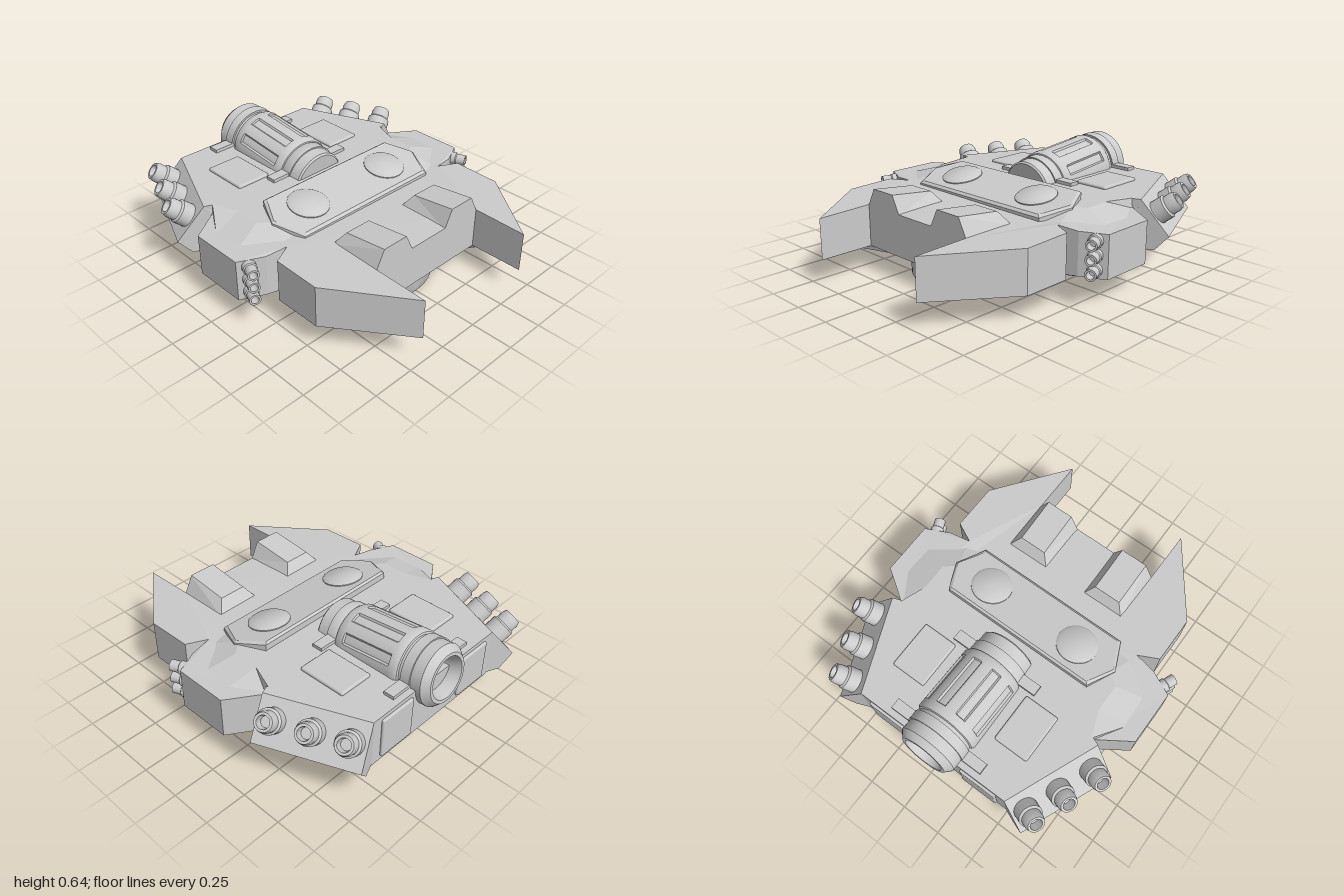
import * as THREE from 'three';
import { toCreasedNormals } from 'three/addons/utils/BufferGeometryUtils.js';
import { RoundedBoxGeometry } from 'three/addons/geometries/RoundedBoxGeometry.js';

const material = new THREE.MeshStandardMaterial({ color: 0xcccccc });

// Flat-shaded solid through horizontal rings of [x, y, z], lowest ring first
function loft(rings) {
  const pos = [];
  const n = rings[0].length;
  let area = 0;
  rings[0].forEach((p, i) => {
    const q = rings[0][(i + 1) % n];
    area += p[0] * q[2] - q[0] * p[2];
  });
  const tri = (a, b, c, flip) => (flip ? pos.push(...a, ...c, ...b) : pos.push(...a, ...b, ...c));
  for (let r = 0; r < rings.length - 1; r++) {
    const lo = rings[r], hi = rings[r + 1];
    for (let i = 0; i < n; i++) {
      const j = (i + 1) % n;
      tri(lo[i], hi[i], lo[j], area < 0);
      tri(hi[i], hi[j], lo[j], area < 0);
    }
  }
  const cap = (ring, up) => {
    const flat = ring.map((p) => new THREE.Vector2(p[0], p[2]));
    for (const f of THREE.ShapeUtils.triangulateShape(flat, [])) {
      const [a, b, c] = f.map((k) => ring[k]);
      const ny = (b[2] - a[2]) * (c[0] - a[0]) - (b[0] - a[0]) * (c[2] - a[2]);
      tri(a, b, c, (ny > 0) !== up);
    }
  };
  cap(rings[0], false);
  cap(rings[rings.length - 1], true);
  const g = new THREE.BufferGeometry();
  g.setAttribute('position', new THREE.Float32BufferAttribute(pos, 3));
  g.computeVertexNormals();
  return g;
}

// Closed ring from a half outline of [x, z], with y from a number or rule
function ring(half, y) {
  const all = [...half, ...half.slice().reverse().map(([x, z]) => [-x, z])];
  return all.map(([x, z]) => [x, typeof y === 'function' ? y(x, z) : y, z]);
}

function lathe(profile, segments = 32) {
  const g = new THREE.LatheGeometry(profile.map(([r, y]) => new THREE.Vector2(r, y)), segments);
  return toCreasedNormals(g, 0.6);
}

// Reflected copy in x, with the corner order reversed
function mirrored(geometry) {
  const g = geometry.index ? geometry.toNonIndexed() : geometry.clone();
  for (const name of ['position', 'normal']) {
    const a = g.attributes[name];
    for (let i = 0; i < a.count; i += 3) {
      const v = [0, 2, 1].map((k) => [-a.getX(i + k), a.getY(i + k), a.getZ(i + k)]);
      v.forEach((p, k) => a.setXYZ(i + k, ...p));
    }
  }
  return g;
}

export function createModel() {
  const model = new THREE.Group();
  model.name = 'turret';
  const add = (name, g) => {
    const m = new THREE.Mesh(g, material);
    m.name = name;
    model.add(m);
  };
  const addPair = (name, g) => {
    add(name + 'Left', g);
    add(name + 'Right', mirrored(g));
  };
  // Turn a lathe from +y to a direction and place it
  const aim = (g, dir, at) => {
    const q = new THREE.Quaternion().setFromUnitVectors(new THREE.Vector3(0, 1, 0), dir.clone().normalize());
    return g.applyQuaternion(q).translate(...at);
  };

  // Hull slab with two front prongs and side sponsons
  const rear = [[0.73, 0.55], [0.73, 0.26], [0.61, 0.2], [0.74, 0.18], [0.885, 0.11],
    [0.885, -0.22], [0.69, -0.35], [0.73, -0.37], [0.5, -0.92]];
  const outline = [[0.405, 0.66], [0.405, 0.99], ...rear];
  const hullTop = (x, z) => (z >= 0.2 ? 0.41 - 0.025 * (z - 0.2) : 0.4);
  add('hull', loft([ring(outline, 0.15), ring(outline, hullTop)]));

  // Belly tapering down to the mounting ring
  const cz = 0.255;
  const belly = [[0.405, 0.66], [0.56, 0.78], ...rear];
  const neck = belly.map(([x, z]) => {
    const d = Math.hypot(x, z - cz);
    return [x / d * 0.34, cz + (z - cz) / d * 0.34];
  });
  add('belly', loft([ring(neck, 0.08), ring(belly, 0.152)]));
  add('mountingRing', lathe([[0, 0], [0.335, 0], [0.34, 0.01], [0.34, 0.13], [0, 0.13]], 48).translate(0, 0, cz));

  // Raised rear deck
  const deckLow = [[0.61, 0.19], [0.8, 0.02], [0.8, -0.17], [0.69, -0.35], [0.73, -0.37], [0.5, -0.92]];
  const deckHigh = [[0.55, 0.02], [0.62, -0.04], [0.62, -0.2], [0.68, -0.36], [0.73, -0.37], [0.5, -0.92]];
  add('rearDeck', loft([ring(deckLow, 0.395), ring(deckHigh, 0.45)]));

  // Sloped side pods carrying the launchers
  const along = [-0.386, -0.923], out = [0.923, -0.386];
  const podPoint = (t, o) => [0.73 + along[0] * t + out[0] * o, -0.37 + along[1] * t + out[1] * o];
  const podRing = (o, y) => [[0, -0.05], [0, o], [0.596, o], [0.596, -0.05]].map(([t, k]) => {
    const [x, z] = podPoint(t, k);
    return [x, y, z];
  });
  addPair('sidePod', loft([podRing(0.09, 0.16), podRing(0.17, 0.25), podRing(0.002, 0.45)]));
  const launcher = [[0, -0.03], [0.07, -0.03], [0.07, 0.065], [0.058, 0.075], [0.058, 0.115],
    [0.05, 0.14], [0.036, 0.14], [0.03, 0.09], [0, 0.09]];
  [0.09, 0.305, 0.51].forEach((t, i) => {
    const [x, z] = podPoint(t, 0.085);
    const dir = new THREE.Vector3(out[0] * 0.78, 0.62, out[1] * 0.78);
    addPair('launcher' + (i + 1), aim(lathe(launcher, 24), dir, [x, 0.36, z]));
  });

  // Small guns stacked on the sponson fronts
  const gun = [[0, -0.03], [0.04, -0.03], [0.04, 0.04], [0.033, 0.045], [0.033, 0.1],
    [0.022, 0.1], [0.02, 0.05], [0, 0.05]];
  [0.2, 0.28, 0.36].forEach((y, i) => {
    addPair('sponsonGun' + (i + 1), aim(lathe(gun, 20), new THREE.Vector3(0.38, 0, 0.92), [0.82, y, 0.13]));
  });

  // Wedge blocks on the front deck
  const wedgeLow = [[0.13, 0.66], [0.41, 0.66], [0.41, 0.33], [0.13, 0.33]];
  const wedgeHigh = [[0.185, 0.66], [0.352, 0.66], [0.352, 0.385], [0.185, 0.385]];
  addPair('wedgeBlock', loft([
    wedgeLow.map(([x, z]) => [x, 0.39, z]),
    wedgeHigh.map(([x, z]) => [x, 0.5 - 0.12 * (0.66 - z), z]),
  ]));

  // Tilted hatch platform with two round hatches
  const slope = 0.2;
  const plat = (k) => [[0.49 - k, 0.21 - k], [0.57 - k, 0.03], [0.49 - k, -0.14 + k]];
  const platTop = (d) => (x, z) => 0.467 - slope * (z - 0.03) - d;
  add('hatchPlatform', loft([ring(plat(0), 0.38), ring(plat(0), platTop(0.012)), ring(plat(0.014), platTop(0))]));
  const hatch = lathe([[0, -0.02], [0.122, -0.02], [0.122, 0.006], [0.102, 0.02], [0, 0.022]], 40);
  addPair('hatch', aim(hatch, new THREE.Vector3(0, 1, slope), [0.305, 0.467, 0.03]));

  // Engine: collars, grooved barrel and hollow nozzle, tilted up to the rear
  const place = (g) => g.rotateX(-Math.PI / 2 + 0.1).translate(0, 0.388, -0.215);
  add('engineFrontCollar', place(lathe([[0, 0], [0.165, 0], [0.175, 0.01], [0.175, 0.08], [0.183, 0.08],
    [0.183, 0.14], [0.17, 0.16], [0, 0.16]], 48)));
  add('engineNozzle', place(lathe([[0, 0.56], [0.175, 0.56], [0.175, 0.61], [0.188, 0.61], [0.188, 0.67],
    [0.18, 0.67], [0.18, 0.735], [0.145, 0.775], [0.125, 0.775], [0.108, 0.72], [0.1, 0.62], [0, 0.62]], 48)));
  const barrelProfile = [[0.17, 0.145], [0.186, 0.15], [0.195, 0.165], [0.195, 0.205], [0.195, 0.21],
    [0.195, 0.525], [0.195, 0.53], [0.195, 0.57], [0.186, 0.585], [0.17, 0.59]];
  const barrel = new THREE.LatheGeometry(barrelProfile.map((p) => new THREE.Vector2(...p)), 144);
  const bp = barrel.attributes.position;
  for (let i = 0; i < bp.count; i++) {
    const deg = (Math.atan2(bp.getX(i), bp.getZ(i)) * 180 / Math.PI + 360) % 40;
    if (Math.abs(deg - 20) < 7.6 && bp.getY(i) > 0.208 && bp.getY(i) < 0.527) {
      bp.setX(i, bp.getX(i) * 0.94);
      bp.setZ(i, bp.getZ(i) * 0.94);
    }
  }
  add('engineBarrel', place(toCreasedNormals(barrel, 0.6)));

  // Engine straps, deck plates and rear panels
  add('frontStrap', new THREE.BoxGeometry(0.57, 0.04, 0.065).translate(0, 0.45, -0.325));
  add('rearStrap', new THREE.BoxGeometry(0.62, 0.04, 0.065).translate(0, 0.45, -0.85));
  addPair('deckPlate', new RoundedBoxGeometry(0.22, 0.05, 0.3, 2, 0.012).translate(0.36, 0.442, -0.53));
  addPair('rearPanel', new RoundedBoxGeometry(0.24, 0.25, 0.04, 2, 0.01).translate(0.32, 0.3, -0.915));
  return model;
}
